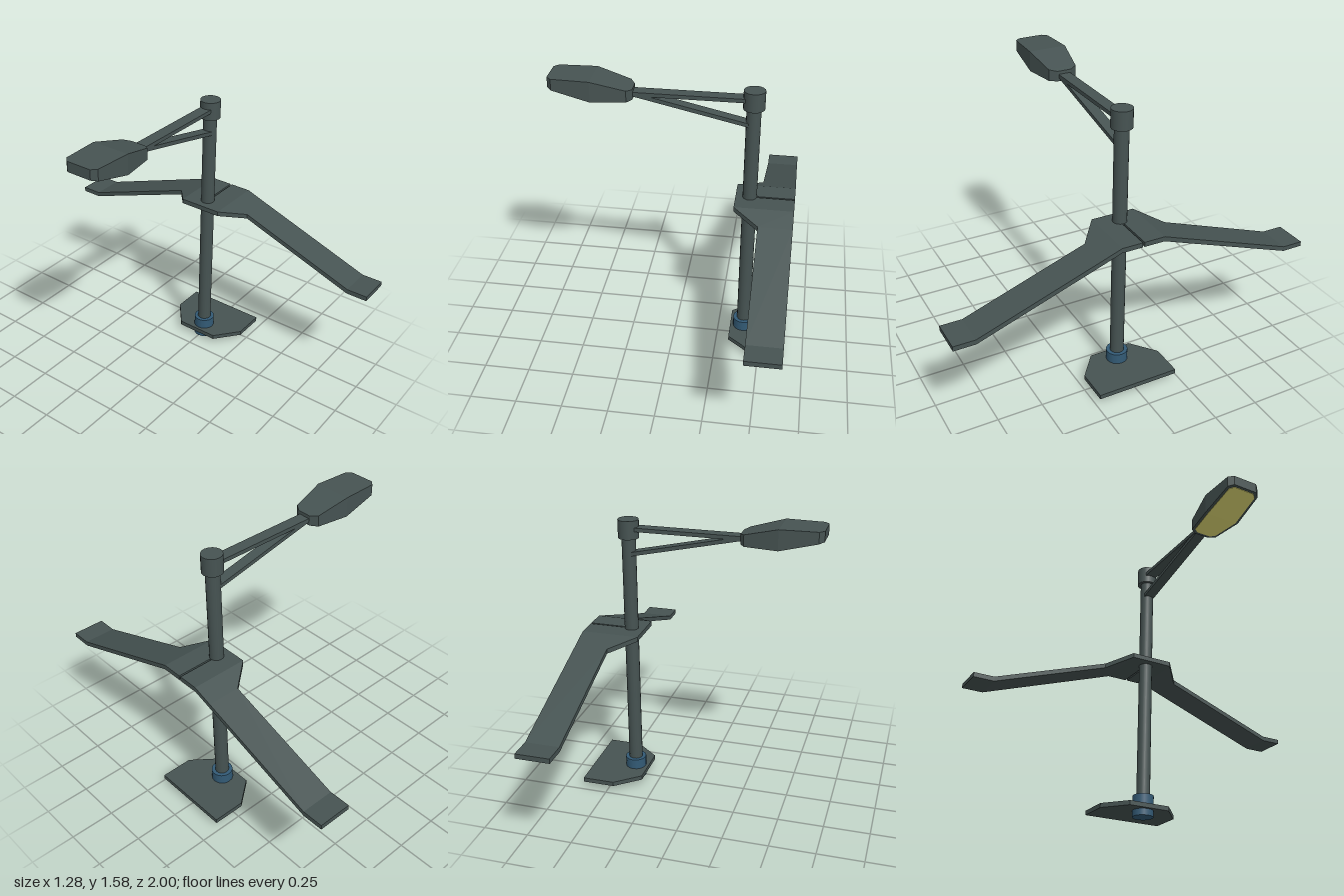
import * as THREE from 'three';

const grey = new THREE.MeshStandardMaterial({ color: 0x465352 });
grey.name = 'metal grey';
const blue = new THREE.MeshStandardMaterial({ color: 0x335b76 });
blue.name = 'collar blue';
const yellow = new THREE.MeshStandardMaterial({ color: 0xece67a });
yellow.name = 'lens yellow';

const POLE_X = 0.4;

// Closed solid with flat faces through a row of four-cornered sections
function loft(sections) {
  const pos = [];
  const tri = (...points) => points.forEach((p) => pos.push(...p));
  const quad = (a, b, c, d) => { tri(a, b, c); tri(a, c, d); };
  for (let s = 0; s < sections.length - 1; s++) {
    const a = sections[s], b = sections[s + 1];
    for (let i = 0; i < 4; i++) {
      const j = (i + 1) % 4;
      quad(a[i], a[j], b[j], b[i]);
    }
  }
  const first = sections[0], last = sections[sections.length - 1];
  quad(first[3], first[2], first[1], first[0]);
  quad(last[0], last[1], last[2], last[3]);
  const geo = new THREE.BufferGeometry();
  geo.setAttribute('position', new THREE.Float32BufferAttribute(pos, 3));
  geo.computeVertexNormals();
  return geo;
}

// Section across z, from x0 to x1
const acrossZ = (z, x0, x1, bottom, top) =>
  [[x0, bottom, z], [x1, bottom, z], [x1, top, z], [x0, top, z]];

// Section across x, with half width h
const acrossX = (x, h, bottom, top) =>
  [[x, bottom, -h], [x, top, -h], [x, top, h], [x, bottom, h]];

export function createModel() {
  const model = new THREE.Group();
  model.name = 'streetLamp';

  function add(name, geo, mat) {
    const mesh = new THREE.Mesh(geo, mat);
    mesh.name = name;
    model.add(mesh);
    return mesh;
  }

  function cylinder(name, radius, y0, y1, mat) {
    const geo = new THREE.CylinderGeometry(radius, radius, y1 - y0, 16);
    add(name, geo, mat).position.set(POLE_X, (y0 + y1) / 2, 0);
  }

  // Flat bar between two points in the z = 0 plane
  function bar(name, x0, y0, x1, y1, width) {
    const length = Math.hypot(x1 - x0, y1 - y0);
    const mesh = add(name, new THREE.BoxGeometry(length, 0.021, width), grey);
    mesh.position.set((x0 + x1) / 2, (y0 + y1) / 2, 0);
    mesh.rotation.z = Math.atan2(y1 - y0, x1 - x0);
  }

  // Pole with its cap and base collar
  cylinder('pole', 0.038, 0.1, 1.46, grey);
  cylinder('poleCap', 0.056, 1.445, 1.545, grey);
  cylinder('baseCollar', 0.059, 0, 0.12, blue);

  // Base plate
  add('basePlate', loft([[-0.23, 0.46], [-0.12, 0.325], [0.12, 0.325], [0.23, 0.46]]
    .map(([z, x0]) => acrossZ(z, x0, 0.64, 0.036, 0.061))), grey);

  // Two bent wings: distance from the middle, inner x, top height
  const wing = [
    [0.005, 0.325, 0.93], [0.12, 0.325, 0.93], [0.23, 0.46, 0.89],
    [0.885, 0.46, 0.655], [1, 0.46, 0.655],
  ];
  for (const side of [1, -1]) {
    const sections = wing.map(([z, x0, top]) => acrossZ(z * side, x0, 0.64, top - 0.026, top));
    if (side < 0) sections.reverse();
    add(side > 0 ? 'frontWing' : 'backWing', loft(sections), grey);
  }
  const bridge = add('wingBridge', new THREE.BoxGeometry(0.115, 0.026, 0.01), grey);
  bridge.position.set(0.3825, 0.917, 0);

  // Arm and brace carrying the lamp head
  bar('arm', -0.23, 1.497, 0.37, 1.497, 0.066);
  bar('brace', -0.215, 1.494, 0.385, 1.36, 0.06);

  // Lamp head: x, half width, bottom, top
  const head = [
    [-0.645, 0.07, 1.525, 1.58], [-0.62, 0.096, 1.519, 1.58], [-0.42, 0.105, 1.47, 1.58],
    [-0.24, 0.078, 1.47, 1.532], [-0.215, 0.04, 1.47, 1.525],
  ];
  add('lampHead', loft(head.map((s) => acrossX(...s))), grey);

  // Thin lens following the underside
  const lens = [
    [-0.632, 0.06, 1.522], [-0.61, 0.082, 1.5166], [-0.42, 0.09, 1.47],
    [-0.255, 0.066, 1.47], [-0.235, 0.04, 1.47],
  ];
  add('lens', loft(lens.map(([x, h, y]) => acrossX(x, h, y - 0.003, y + 0.003))), yellow);

  return model;
}
